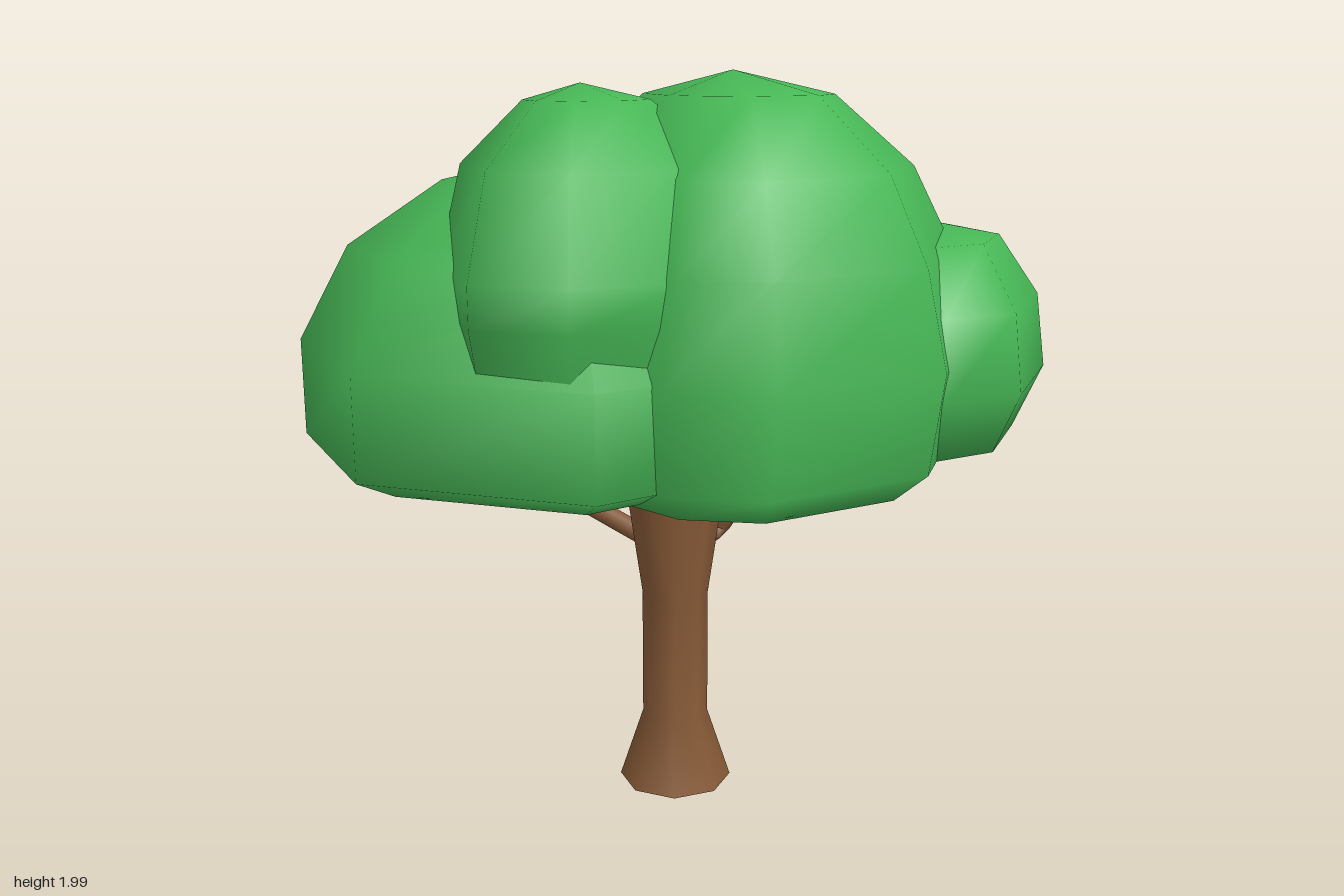
import * as THREE from 'three';

const leaf = new THREE.MeshStandardMaterial({ color: 0x46b655 });
leaf.name = 'leafGreen';
const bark = new THREE.MeshStandardMaterial({ color: 0x875a37 });
bark.name = 'barkBrown';

// Leaf clump: an outline (x, z) scaled ring by ring [scale, y, lean] and closed at both ends.
// Lean slides a ring towards the front right.
function clump(name, outline, centre, rings, topY) {
  const n = outline.length, pos = [], idx = [];
  const [cx, cz] = centre;
  for (const [s, y, lean = 0] of rings) {
    for (const [x, z] of outline) pos.push(cx + (x - cx) * s - lean, y, cz + (z - cz) * s + lean);
  }
  for (let r = 0; r < rings.length - 1; r++) {
    for (let j = 0; j < n; j++) {
      const a = r * n + j, b = r * n + (j + 1) % n;
      idx.push(a, b, b + n, a, b + n, a + n);
    }
  }
  const top = pos.length / 3, bottom = top + 1, last = (rings.length - 1) * n;
  pos.push(cx, topY, cz, cx, rings[0][1] - 0.005, cz);
  for (let j = 0; j < n; j++) {
    const k = (j + 1) % n;
    idx.push(last + j, last + k, top, k, j, bottom);
  }
  const g = new THREE.BufferGeometry();
  g.setAttribute('position', new THREE.Float32BufferAttribute(pos, 3));
  g.setIndex(idx);
  g.computeVertexNormals();
  const mesh = new THREE.Mesh(g, leaf);
  mesh.name = name;
  return mesh;
}

// Branch: a thin six-sided tube through a few bends.
function branch(name, points, radius) {
  const curve = new THREE.CatmullRomCurve3(points.map(p => new THREE.Vector3(...p)), false, 'catmullrom', 0);
  const mesh = new THREE.Mesh(new THREE.TubeGeometry(curve, 20, radius, 6), bark);
  mesh.name = name;
  return mesh;
}

export function createModel() {
  const tree = new THREE.Group();
  tree.name = 'tree';

  // Trunk with flared foot and crown, and a flat sole
  const profile = [[0.158, 0], [0.092, 0.2], [0.092, 0.56], [0.15, 0.96], [0.15, 1.02]];
  const trunk = new THREE.Mesh(
    new THREE.LatheGeometry(profile.map(p => new THREE.Vector2(...p)), 8), bark);
  trunk.name = 'trunk';
  trunk.position.set(-0.075, 0, 0.062);
  const sole = new THREE.Mesh(new THREE.CircleGeometry(0.158, 8), bark);
  sole.name = 'trunkSole';
  sole.rotation.x = Math.PI / 2;
  trunk.add(sole);
  tree.add(trunk);

  // Branches
  tree.add(
    branch('leftBranch', [[-0.05, 0.72, 0.07], [0.05, 0.72, 0.1], [0.07, 0.87, 0.19], [0.23, 0.84, 0.19], [0.39, 1.0, 0.18]], 0.031),
    branch('backBranch', [[-0.1, 0.7, 0], [-0.2, 0.82, -0.31], [-0.3, 1.0, -0.35]], 0.028),
    branch('twig', [[-0.18, 0.8, -0.22], [-0.27, 0.83, -0.16], [-0.31, 0.91, -0.13], [-0.4, 0.93, -0.1], [-0.46, 1.0, -0.08]], 0.017),
  );

  // Canopy
  tree.add(
    clump('mainClump',
      [[-0.4, 0.73], [0.07, 0.85], [0.5, 0.62], [0.72, 0.1], [0.57, -0.54], [0.2, -0.6], [-0.25, -0.38], [-0.57, 0.2], [-0.56, 0.52]],
      [0.04, 0.16],
      [[0.78, 0.955, 0.05], [0.93, 1.03, 0.03], [1, 1.28], [0.9, 1.53, 0.02], [0.72, 1.75, 0.05], [0.4, 1.93, 0.05]], 1.99),
    clump('backClump',
      [[-0.71, 0.46], [-0.2, 0.55], [0.25, 0.15], [0.35, -0.4], [0.08, -0.84], [-0.38, -0.91], [-0.82, -0.61], [-1, -0.08]],
      [-0.33, -0.18],
      [[0.82, 0.97], [1, 1.03], [1, 1.29], [0.79, 1.54], [0.4, 1.71]], 1.77),
    clump('rightUpperClump',
      [[-0.86, 0.2], [-0.75, 0.42], [-0.45, 0.52], [-0.1, 0.38], [0, 0.05], [-0.12, -0.27], [-0.42, -0.33], [-0.71, -0.12]],
      [-0.38, 0.04],
      [[0.7, 1.0], [0.9, 1.2], [1, 1.42], [1, 1.52], [0.83, 1.77], [0.4, 1.92]], 1.96),
    clump('leftClump',
      [[0.15, -0.45], [0, 0.05], [0.2, 0.55], [0.6, 0.54], [0.84, 0.26], [1, -0.17], [0.84, -0.49], [0.57, -0.54]],
      [0.42, 0.05],
      [[0.72, 0.985], [0.93, 1.06], [1, 1.22], [0.74, 1.57], [0.35, 1.75]], 1.8),
    clump('frontClump',
      [[0.08, 0.84], [0.32, 0.9], [0.69, 0.73], [0.85, 0.37], [0.7, 0.15], [0.35, 0.1], [0.05, 0.3], [0.03, 0.7]],
      [0.43, 0.49],
      [[0.78, 1.03], [1, 1.2], [0.92, 1.4], [0.6, 1.56]], 1.6),
  );
  return tree;
}
